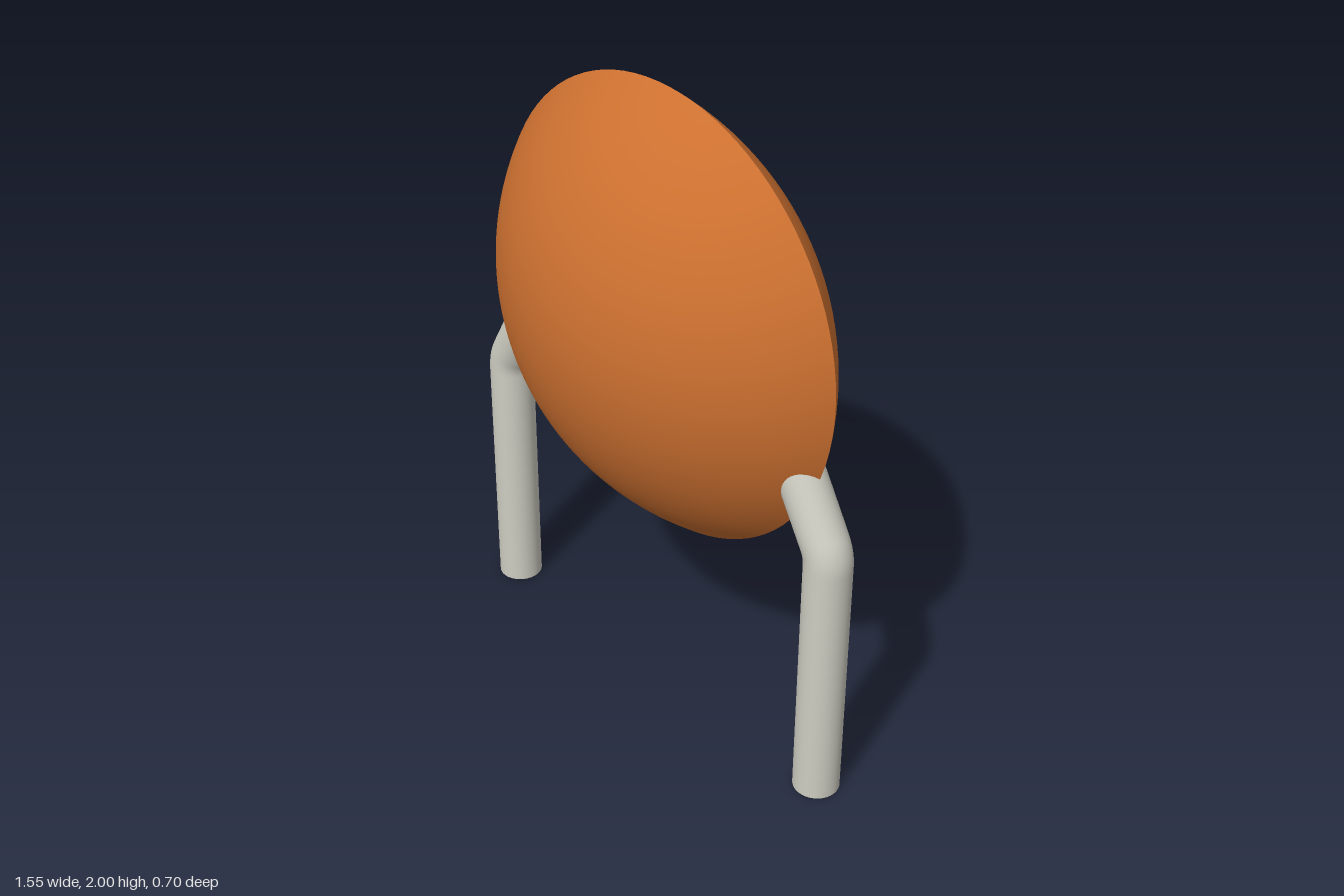
import * as THREE from 'three';

const DISC_RADIUS = 0.7, DISC_DEPTH = 0.35, DISC_Y = 1.3;
const LEG_X = 0.705, LEG_RADIUS = 0.07;

// Spherical cap with its rim at y = 0 and its apex at y = DISC_DEPTH
function capGeometry() {
  const R = (DISC_RADIUS ** 2 + DISC_DEPTH ** 2) / (2 * DISC_DEPTH);
  const rim = Math.asin(DISC_RADIUS / R);
  const points = [];
  for (let i = 0; i <= 32; i++) {
    const a = rim * (1 - i / 32);
    points.push(new THREE.Vector2(R * Math.sin(a), R * Math.cos(a) - R + DISC_DEPTH));
  }
  return new THREE.LatheGeometry(points, 96);
}

// Upright tube that bends inward and ends inside the disc
function createLeg(side, material) {
  const leg = new THREE.Group();
  const p = (x, y) => new THREE.Vector3(side * x, y, 0);
  const bendEnd = [LEG_X - 0.019, 0.87];
  const path = new THREE.CurvePath();
  path.add(new THREE.LineCurve3(p(LEG_X, 0), p(LEG_X, 0.8)));
  path.add(new THREE.QuadraticBezierCurve3(p(LEG_X, 0.8), p(LEG_X, 0.8375), p(...bendEnd)));
  path.add(new THREE.LineCurve3(p(...bendEnd), p(bendEnd[0] - 0.15, bendEnd[1] + 0.26)));

  const tube = new THREE.Mesh(new THREE.TubeGeometry(path, 90, LEG_RADIUS, 40), material);
  tube.name = 'legTube';
  const foot = new THREE.Mesh(new THREE.CircleGeometry(LEG_RADIUS, 40), material);
  foot.name = 'legFoot';
  foot.rotation.x = Math.PI / 2;
  foot.position.x = side * LEG_X;
  leg.add(tube, foot);
  leg.name = side > 0 ? 'leftLeg' : 'rightLeg';
  return leg;
}

export function createModel() {
  const orange = new THREE.MeshStandardMaterial({ name: 'orange', color: 0xcc7030 });
  const grey = new THREE.MeshStandardMaterial({ name: 'paleGrey', color: 0xcecdc2 });
  const model = new THREE.Group();
  model.name = 'lensOnLegs';

  // Lens-shaped disc: two caps meeting at a sharp rim
  const cap = capGeometry();
  for (const side of [1, -1]) {
    const half = new THREE.Mesh(cap, orange);
    half.name = side > 0 ? 'discFront' : 'discBack';
    half.rotation.x = side * Math.PI / 2;
    half.position.y = DISC_Y;
    model.add(half);
  }

  // Pair of bent legs
  for (const side of [1, -1]) model.add(createLeg(side, grey));
  return model;
}
